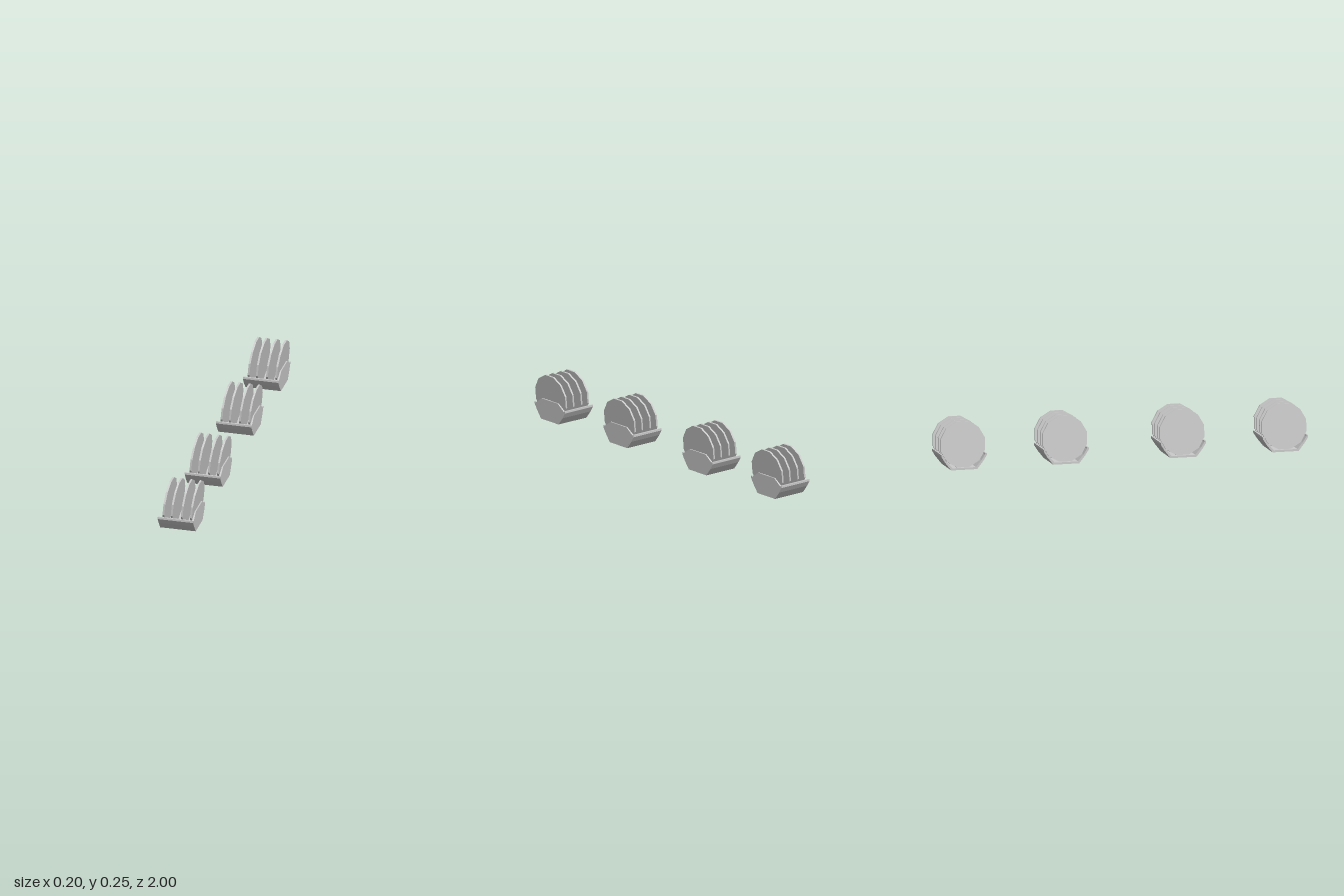
import * as THREE from 'three';

const grey = new THREE.MeshStandardMaterial({ color: 0xcccccc, flatShading: true });

// Extrudes a (z, y) outline along x, from x0 to x1
function extrudeAlongX(points, x0, x1) {
  const shape = new THREE.Shape(points.map(([z, y]) => new THREE.Vector2(-z, y)));
  const geo = new THREE.ExtrudeGeometry(shape, { depth: x1 - x0, bevelEnabled: false });
  geo.rotateY(Math.PI / 2);
  geo.translate(x0, 0, 0);
  return geo;
}

// Completes a half outline with its mirror image
const mirrored = (half) => [...half, ...half.map(([z, y]) => [-z, y]).reverse()];

// Trough section: outer skin, then inner skin back the other way
const outer = [[0.123, 0.083], [0.123, 0.072], [0.104, 0.042], [0.071, 0]];
const inner = [[0.064, 0.011], [0.095, 0.047], [0.113, 0.076], [0.115, 0.083]];
const troughGeo = extrudeAlongX(
  [...mirrored(outer), ...inner.map(([z, y]) => [-z, y]).reverse(), ...inner],
  -0.1, 0.093);

// Stop plate closing the +x end, with a raised middle
const endGeo = extrudeAlongX(
  mirrored([[0.065, 0.113], [0.114, 0.078], [0.1, 0.042], [0.068, 0.004]]),
  0.084, 0.0932);

// Twelve-sided disc, flat side up
const discGeo = new THREE.CylinderGeometry(0.125, 0.125, 0.01, 12);
discGeo.rotateY(Math.PI / 12);
discGeo.rotateZ(Math.PI / 2);

function createRack() {
  const rack = new THREE.Group();
  const add = (geo, name) => {
    const mesh = new THREE.Mesh(geo, grey);
    mesh.name = name;
    rack.add(mesh);
    return mesh;
  };
  add(troughGeo, 'trough');
  add(endGeo, 'endPlate');
  // Leaning discs
  [-0.067, -0.022, 0.033, 0.083].forEach((x, i) => {
    const disc = add(discGeo, `disc${i + 1}`);
    disc.position.set(x, 0.13, 0);
    disc.rotation.z = -0.09;
  });
  return rack;
}

export function createModel() {
  const model = new THREE.Group();
  model.name = 'discRacks';
  // Four racks in a row along z
  [0.877, 0.32, -0.32, -0.877].forEach((z, i) => {
    const rack = createRack();
    rack.name = `rack${i + 1}`;
    rack.position.z = z;
    model.add(rack);
  });
  return model;
}
